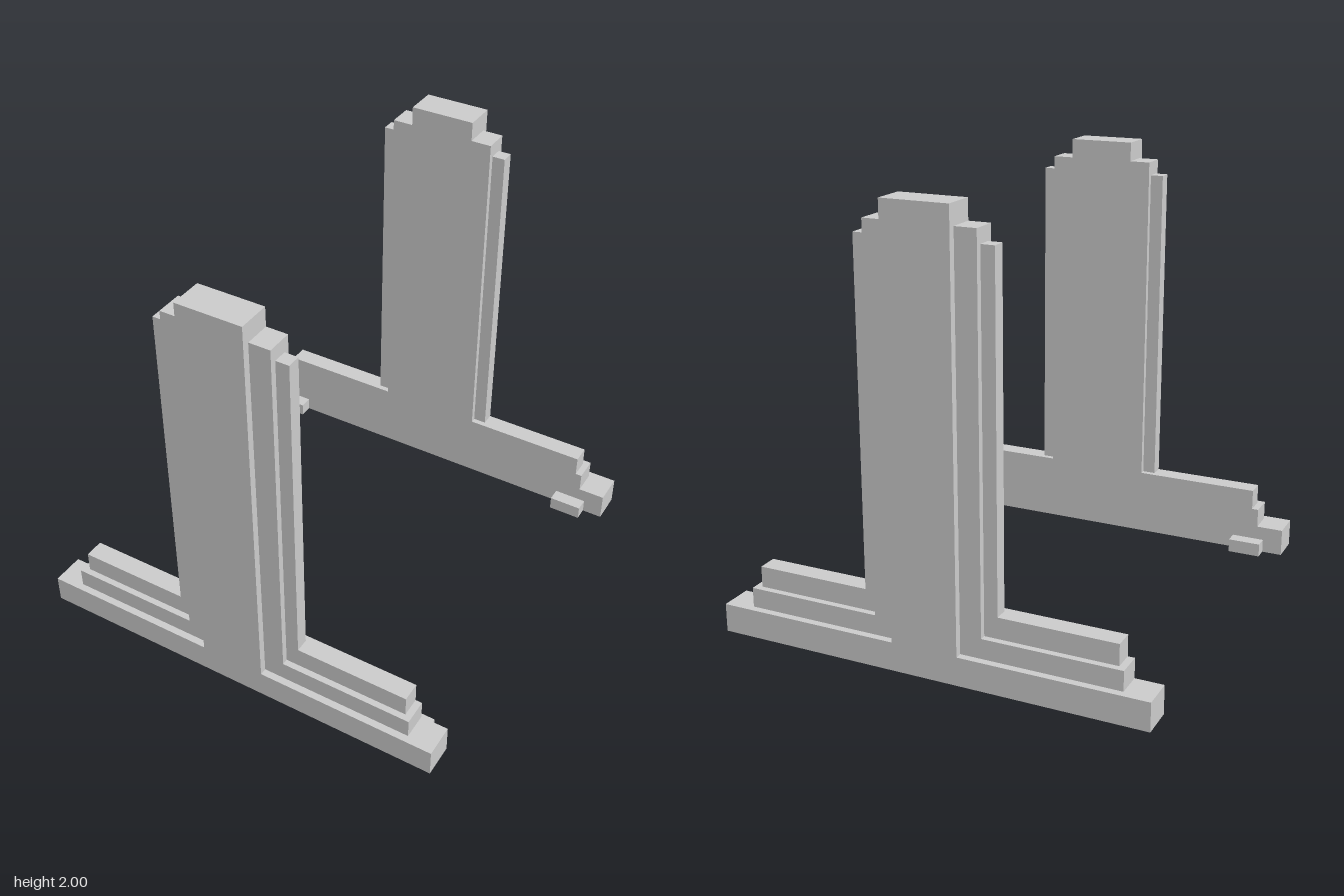
import * as THREE from 'three';

const material = new THREE.MeshStandardMaterial({ color: 0xcccccc, flatShading: true });

// Flat outline in x/y extruded between two depths
function slab(name, points, z0, z1) {
  const shape = new THREE.Shape(points.map(([x, y]) => new THREE.Vector2(x, y)));
  const geometry = new THREE.ExtrudeGeometry(shape, { depth: z1 - z0, bevelEnabled: false });
  geometry.translate(0, 0, z0);
  const mesh = new THREE.Mesh(geometry, material);
  mesh.name = name;
  return mesh;
}

// Box outline mirrored by side
const rect = (s, x0, x1, y0, y1) => [[s * x0, y0], [s * x1, y0], [s * x1, y1], [s * x0, y1]];

function createSupport(name) {
  const support = new THREE.Group();
  support.name = name;

  // Main inverted T: base rail and upright in one piece
  support.add(slab('mainFrame', [
    [-1, 0], [1, 0], [1, 0.13], [0.153, 0.13], [0.153, 2],
    [-0.153, 2], [-0.153, 0.13], [-1, 0.13],
  ], 0.848, 1));

  for (const s of [1, -1]) {
    const side = s > 0 ? 'left' : 'right';

    // First L-shaped step in the corner of the T
    support.add(slab(side + 'MiddleStep', [
      [s * 0.153, 0.13], [s * 0.873, 0.13], [s * 0.873, 0.22],
      [s * 0.25, 0.22], [s * 0.25, 1.91], [s * 0.153, 1.91],
    ], 0.848, 0.967));

    // Second step: rail, plus a thinner upright strip set back on both faces
    support.add(slab(side + 'UpperRail', rect(s, 0.25, 0.842, 0.22, 0.316), 0.848, 0.938));
    support.add(slab(side + 'OuterStrip', rect(s, 0.25, 0.311, 0.316, 1.845), 0.875, 0.938));

    // Small foot on the inward face
    support.add(slab(side + 'Foot', rect(s, 0.75, 0.905, 0, 0.064), 0.783, 0.848));
  }
  return support;
}

export function createModel() {
  const model = new THREE.Group();
  model.name = 'pairOfSupports';
  const front = createSupport('frontSupport');
  const back = createSupport('backSupport');
  back.rotation.y = Math.PI;
  model.add(front, back);
  return model;
}
